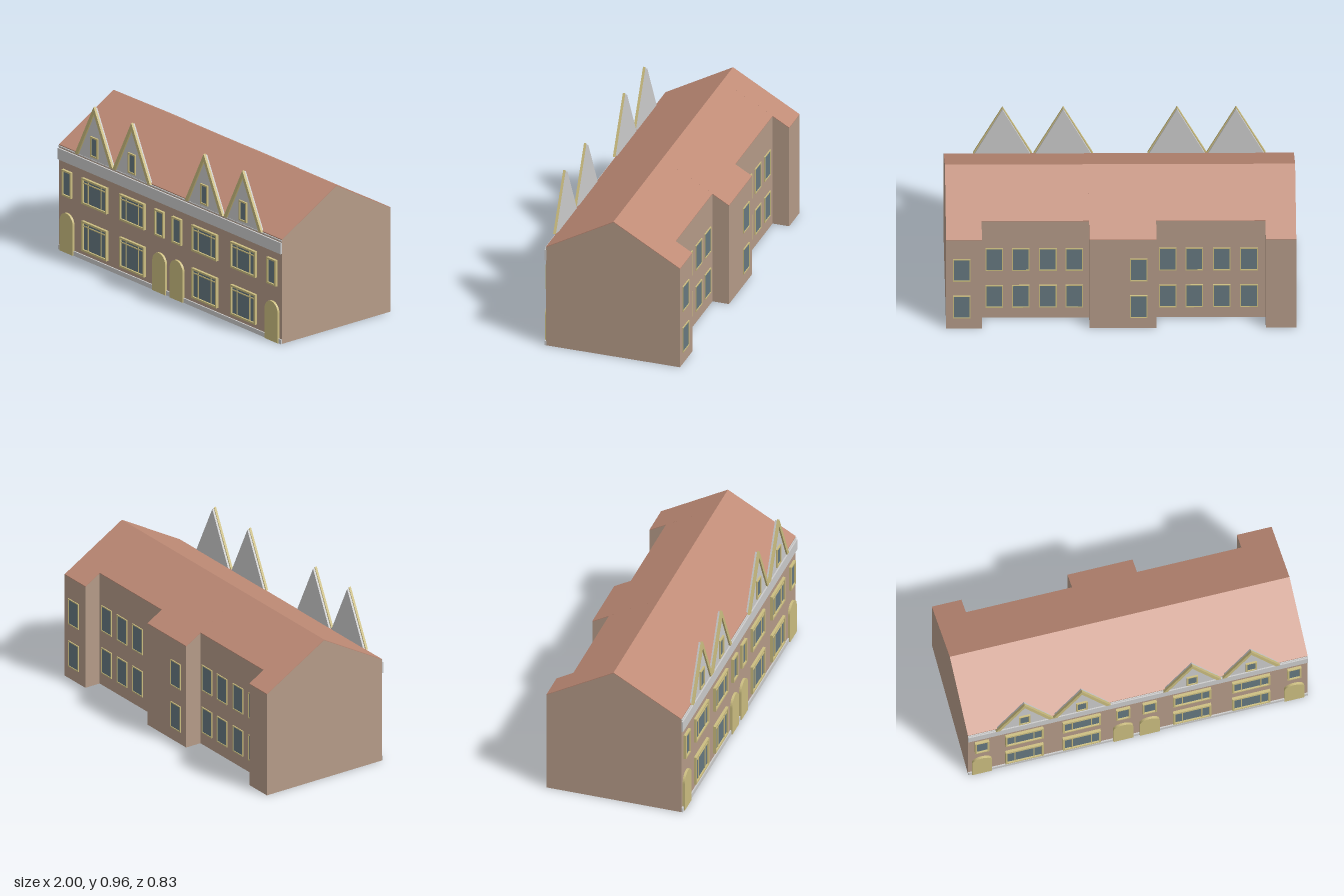
import * as THREE from 'three';

const mat = (color) => new THREE.MeshStandardMaterial({ color });
const brick = mat(0xb59b88), tile = mat(0xbf8b76), gold = mat(0xcbbd80);
const glass = mat(0x667880), white = mat(0xd8d8d4);

const FRONT = 0.395, RIDGE_Z = -0.01, RIDGE_Y = 0.86, EAVE = 0.63;
const SLOPE = (RIDGE_Y - EAVE) / 0.4;

function mesh(name, geometry, material, parent, x = 0, y = 0, z = 0) {
  const m = new THREE.Mesh(geometry, material);
  m.name = name;
  m.position.set(x, y, z);
  parent.add(m);
  return m;
}

const box = (name, w, h, d, material, parent, x, y, z) =>
  mesh(name, new THREE.BoxGeometry(w, h, d), material, parent, x, y, z);

const polygon = (pts) => new THREE.Shape(pts.map(([x, y]) => new THREE.Vector2(x, y)));

const extrude = (shape, depth) =>
  new THREE.ExtrudeGeometry(shape, { depth, bevelEnabled: false, curveSegments: 10 });

// Sweeps a (z, y) profile from x0 to x1; the plan is very slightly skewed
function sweep(profile, x0, x1) {
  const g = extrude(polygon(profile.map(([z, y]) => [-z, y])), x1 - x0);
  g.rotateY(Math.PI / 2).translate(x0, 0, 0);
  const p = g.attributes.position;
  for (let i = 0; i < p.count; i++) p.setX(i, p.getX(i) + 0.012 * p.getZ(i));
  return g;
}

// Framed window standing on its local z = 0 plane, centred in x and y
function makeWindow(name, w, h, depth, t, bars) {
  const g = new THREE.Group();
  g.name = name;
  const rect = (a, b) => [[-a, -b], [a, -b], [a, b], [-a, b]];
  const outer = polygon(rect(w / 2, h / 2));
  outer.holes.push(polygon(rect(w / 2 - t, h / 2 - t)));
  mesh('windowFrame', extrude(outer, depth), gold, g);
  box('windowPane', w - t, h - t, depth * 0.4, glass, g, 0, 0, depth * 0.2);
  if (bars) {
    for (const s of [-1, 1])
      box('mullion', 0.006, h - t, depth * 0.7, gold, g, s * (w / 2 - 0.055), 0, depth * 0.35);
    box('transom', w - t, 0.006, depth * 0.7, gold, g, 0, h / 2 - 0.03, depth * 0.35);
  }
  return g;
}

function place(obj, parent, x, y, z, turn = 0) {
  obj.position.set(x, y, z);
  obj.rotation.y = turn;
  parent.add(obj);
}

export function createModel() {
  const house = new THREE.Group();
  house.name = 'terraceHouses';

  // Bays: x range and the depth of the rear wall
  const bays = [
    [-0.993, -0.82, -0.41], [-0.82, -0.2, -0.31], [-0.2, 0.18, -0.41],
    [0.18, 0.79, -0.31], [0.79, 0.993, -0.41],
  ];
  for (const [x0, x1, back] of bays) {
    const backEave = RIDGE_Y + SLOPE * (back - RIDGE_Z);
    mesh('houseBody', sweep(
      [[FRONT, 0], [FRONT, EAVE], [RIDGE_Z, RIDGE_Y], [back, backEave], [back, 0]], x0, x1), brick, house);
    // Thin tile layer over both slopes
    mesh('roof', sweep(
      [[FRONT, EAVE], [FRONT, EAVE + 0.004], [RIDGE_Z, RIDGE_Y + 0.005], [back, backEave + 0.004],
        [back, backEave], [RIDGE_Z, RIDGE_Y]], x0, x1), tile, house);
  }

  // White bands along the facade
  box('frieze', 1.986, 0.068, 0.012, white, house, 0.005, 0.579, FRONT + 0.004);
  box('cornice', 1.986, 0.006, 0.008, white, house, 0.005, 0.625, FRONT + 0.002);
  box('plinth', 1.986, 0.027, 0.01, white, house, 0.005, 0.0135, FRONT + 0.003);

  // Wide windows and the gables above them
  const gable = polygon([[-0.16, 0], [0.16, 0], [0, 0.32]]);
  const trim = polygon([[-0.168, 0], [-0.143, 0], [0, 0.284], [0.143, 0], [0.168, 0], [0, 0.328]]);
  for (const x of [-0.66, -0.325, 0.32, 0.665]) {
    place(makeWindow('groundWindow', 0.222, 0.182, 0.016, 0.011, true), house, x, 0.145, FRONT);
    place(makeWindow('upperWindow', 0.222, 0.158, 0.016, 0.011, true), house, x, 0.418, FRONT);
    const g = new THREE.Group();
    g.name = 'gable';
    mesh('gablePanel', extrude(gable, 0.016), white, g);
    mesh('gableTrim', extrude(trim, 0.014), gold, g, 0, 0, 0.012);
    place(makeWindow('gableWindow', 0.066, 0.122, 0.01, 0.009, false), g, 0, 0.08, 0.016);
    place(g, house, x, EAVE, 0.386);
  }

  // Arched doors with a narrow window above each
  const arch = new THREE.Shape();
  arch.moveTo(-0.058, 0).lineTo(0.058, 0).lineTo(0.058, 0.182);
  arch.absarc(0, 0.182, 0.058, 0, Math.PI, false);
  for (const x of [-0.908, -0.083, 0.072, 0.918]) {
    mesh('door', extrude(arch, 0.014), gold, house, x, 0, FRONT);
    place(makeWindow('narrowWindow', 0.082, 0.158, 0.016, 0.01, false), house, x, 0.418, FRONT);
  }

  // Rear windows on two floors
  const rear = [[0.9, -0.41], [-0.105, -0.41]];
  for (const x of [0.715, 0.565, 0.41, 0.26, -0.27, -0.42, -0.575, -0.73]) rear.push([x, -0.31]);
  for (const [x, z] of rear)
    for (const y of [0.155, 0.418])
      place(makeWindow('rearWindow', 0.1, 0.16, 0.006, 0.006, false), house, x, y, z, Math.PI);

  return house;
}
